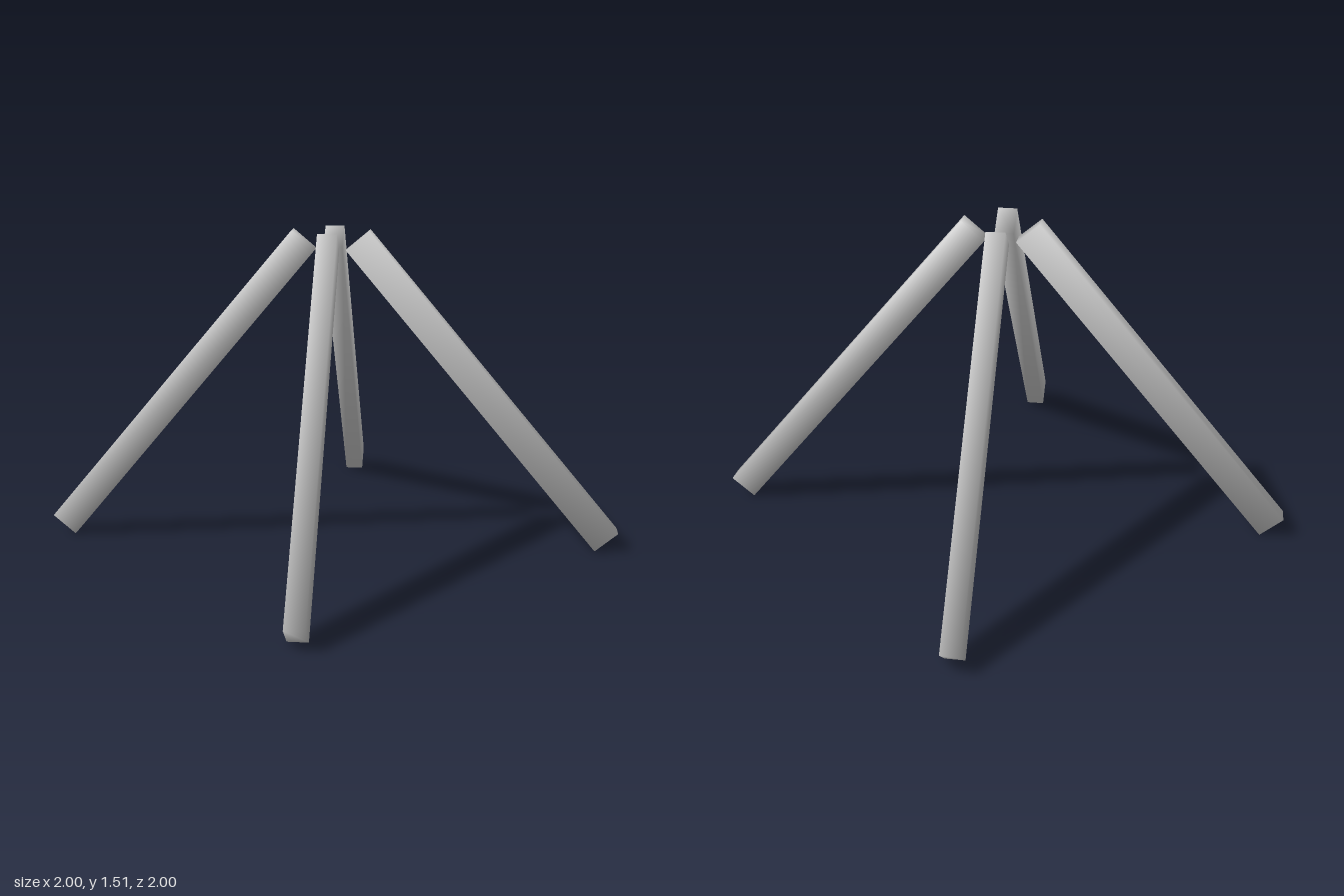
import * as THREE from 'three';
import { mergeVertices } from 'three/addons/utils/BufferGeometryUtils.js';

// Square-ended beam with shared corners, so the shading runs softly over its edges
function beamGeometry(depth, length, width) {
  const box = new THREE.BoxGeometry(depth, length, width);
  box.deleteAttribute('uv');
  box.deleteAttribute('normal');
  const geometry = mergeVertices(box);
  const p = geometry.attributes.position;
  const normals = new Float32Array(p.count * 3);
  const n = new THREE.Vector3();
  for (let i = 0; i < p.count; i++) {
    n.set(Math.sign(p.getX(i)), Math.sign(p.getY(i)), Math.sign(p.getZ(i))).normalize();
    n.toArray(normals, i * 3);
  }
  geometry.setAttribute('normal', new THREE.BufferAttribute(normals, 3));
  return geometry;
}

export function createModel() {
  const model = new THREE.Group();
  const material = new THREE.MeshStandardMaterial({ color: 0xcccccc });
  const geometry = beamGeometry(0.14, 1.85, 0.09);
  const names = ['frontLeftLeg', 'backLeftLeg', 'backRightLeg', 'frontRightLeg'];

  // Four splayed legs on the diagonals, leaning in towards the centre
  names.forEach((name, i) => {
    const leg = new THREE.Group();
    leg.name = name;
    const beam = new THREE.Mesh(geometry, material);
    beam.name = name + 'Beam';
    beam.position.set(0.721, 0.753, 0);
    beam.rotation.z = THREE.MathUtils.degToRad(40);
    leg.add(beam);
    leg.rotation.y = -Math.PI / 4 + i * Math.PI / 2;
    model.add(leg);
  });
  return model;
}
